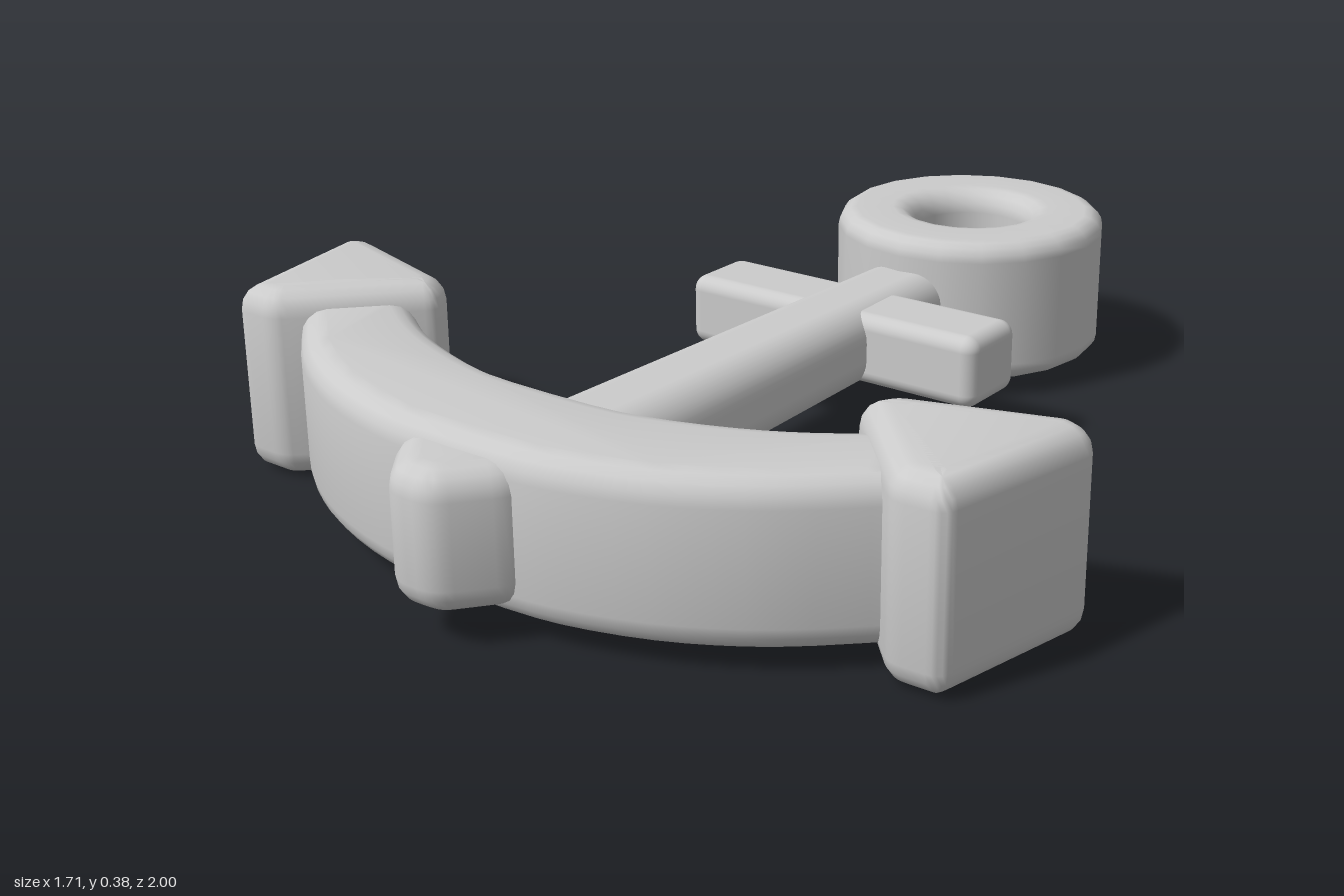
import * as THREE from 'three';
import { toCreasedNormals } from 'three/addons/utils/BufferGeometryUtils.js';
import { RoundedBoxGeometry } from 'three/addons/geometries/RoundedBoxGeometry.js';

const MID = 0.192; // height of the plane of symmetry
const material = new THREE.MeshStandardMaterial({ color: 0xcccccc });

function part(name, geometry) {
  const mesh = new THREE.Mesh(geometry, material);
  mesh.name = name;
  return mesh;
}

// Closed polygon of [x, z] points with every corner rounded by r
function roundedShape(points, r) {
  const v = points.map(([x, z]) => new THREE.Vector2(x, z));
  const shape = new THREE.Shape();
  v.forEach((p, i) => {
    const towards = (q) => p.clone().add(q.clone().sub(p).setLength(r));
    const a = towards(v[(i + v.length - 1) % v.length]);
    const b = towards(v[(i + 1) % v.length]);
    if (i === 0) shape.moveTo(a.x, a.y);
    else shape.lineTo(a.x, a.y);
    shape.quadraticCurveTo(p.x, p.y, b.x, b.y);
  });
  shape.closePath();
  return shape;
}

// Upright prism over a plan shape, with soft top and bottom edges
function softPrism(shape, height, bevel) {
  const geo = new THREE.ExtrudeGeometry(shape, {
    depth: height - 2 * bevel,
    bevelThickness: bevel,
    bevelSize: bevel,
    bevelOffset: -bevel,
    bevelSegments: 4,
    curveSegments: 5,
  });
  geo.translate(0, 0, -(height - 2 * bevel) / 2);
  geo.rotateX(Math.PI / 2);
  geo.translate(0, MID, 0);
  return toCreasedNormals(geo, 0.65);
}

// Ring: rounded rectangle turned about the vertical
function ringGeometry() {
  const inner = 0.12, outer = 0.288, half = 0.152;
  const profile = [];
  const corner = (cx, cy, r, start) => {
    for (let i = 0; i <= 4; i++) {
      const a = start + (i / 4) * Math.PI / 2;
      profile.push(new THREE.Vector2(cx + r * Math.cos(a), cy + r * Math.sin(a)));
    }
  };
  const ro = 0.04, ri = 0.05;
  corner(inner + ri, -half + ri, ri, Math.PI);
  corner(outer - ro, -half + ro, ro, -Math.PI / 2);
  corner(outer - ro, half - ro, ro, 0);
  corner(inner + ri, half - ri, ri, Math.PI / 2);
  profile.push(profile[0].clone());
  return new THREE.LatheGeometry(profile, 20).translate(0, MID, -0.713);
}

// Shank: rounded bar, slightly wider towards the arms
function shankGeometry() {
  const geo = new RoundedBoxGeometry(0.21, 0.174, 1.25, 5, 0.068);
  const p = geo.attributes.position;
  for (let i = 0; i < p.count; i++) {
    const s = 1 + 0.15 * p.getZ(i);
    p.setXY(i, p.getX(i) * s, p.getY(i) * s);
  }
  return geo.translate(0, MID, 0.12);
}

// Curved arms: crescent between an outer and an inner curve
function armsShape() {
  const outer = [[0.1, 0.893], [0.22, 0.876], [0.35, 0.835], [0.46, 0.78], [0.56, 0.71], [0.69, 0.59]];
  const inner = [[0.1, 0.622], [0.21, 0.605], [0.33, 0.565], [0.42, 0.522], [0.5, 0.47], [0.58, 0.41]];
  const mirrored = (pts) => {
    const left = pts.map(([x, z]) => new THREE.Vector2(x, z));
    const right = pts.map(([x, z]) => new THREE.Vector2(-x, z)).reverse();
    return new THREE.SplineCurve([...right, ...left]).getPoints(26);
  };
  return new THREE.Shape([...mirrored(outer), ...mirrored(inner).reverse()]);
}

export function createModel() {
  const anchor = new THREE.Group();
  anchor.name = 'anchor';

  anchor.add(part('ring', ringGeometry()));
  anchor.add(part('shank', shankGeometry()));
  anchor.add(part('crossbar',
    new RoundedBoxGeometry(0.69, 0.147, 0.17, 4, 0.03).translate(0, MID, -0.245)));
  anchor.add(part('arms', softPrism(armsShape(), 0.305, 0.05)));

  // Arrow-shaped flukes at both arm tips
  for (const [name, s] of [['leftFluke', 1], ['rightFluke', -1]]) {
    const plan = [
      [0.862, 0.318], [0.81, 0.283], [0.515, 0.372],
      [0.478, 0.434], [0.69, 0.662], [0.79, 0.66],
    ].map(([x, z]) => [s * x, z]);
    anchor.add(part(name, softPrism(roundedShape(plan, 0.028), 0.376, 0.05)));
  }

  // Pointed crown below the middle of the arms
  const crown = [
    [-0.132, 0.78], [0.132, 0.78], [0.132, 0.89],
    [0.045, 0.998], [-0.045, 0.998], [-0.132, 0.89],
  ];
  anchor.add(part('crown', softPrism(roundedShape(crown, 0.035), 0.255, 0.05)));

  return anchor;
}
